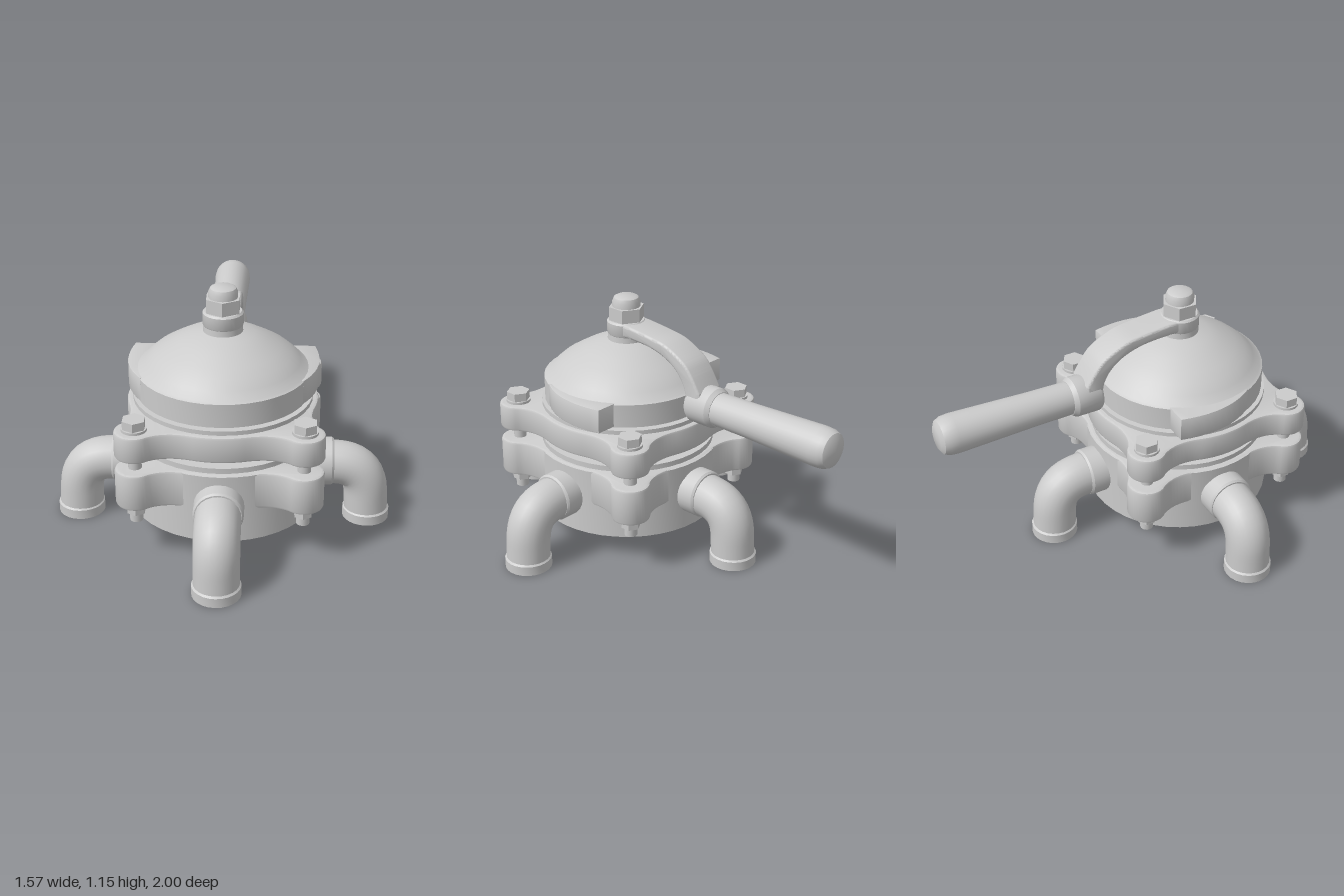
import * as THREE from 'three';
import { toCreasedNormals } from 'three/addons/utils/BufferGeometryUtils.js';

const material = new THREE.MeshStandardMaterial({ color: 0xcccccc });

function add(parent, name, geometry, x = 0, y = 0, z = 0) {
  const mesh = new THREE.Mesh(toCreasedNormals(geometry, 0.6), material);
  mesh.name = name;
  mesh.position.set(x, y, z);
  parent.add(mesh);
  return mesh;
}

const lathe = (points, sides = 40) =>
  new THREE.LatheGeometry(points.map(([r, y]) => new THREE.Vector2(r, y)), sides);

// Upright prism or cylinder from height y0 to y1
const post = (r, y0, y1, sides = 24) =>
  new THREE.CylinderGeometry(r, r, y1 - y0, sides).translate(0, (y0 + y1) / 2, 0);

// Plan outline (x, -z) extruded upwards
function slab(shape, y0, y1, bevel = 0.012) {
  return new THREE.ExtrudeGeometry(shape, {
    depth: y1 - y0 - 2 * bevel, bevelEnabled: true, bevelThickness: bevel,
    bevelSize: bevel, bevelOffset: -bevel, bevelSegments: 2, curveSegments: 10,
  }).rotateX(-Math.PI / 2).translate(0, y0 + bevel, 0);
}

// Round flange with four flared bolt ears
function flangeShape(r) {
  const shape = new THREE.Shape();
  const ear = 0.523, er = 0.09, spread = 0.52;
  for (let i = 0; i < 4; i++) {
    const a = Math.PI / 4 + i * Math.PI / 2;
    const at = (u, v) => [u * Math.cos(a) - v * Math.sin(a), u * Math.sin(a) + v * Math.cos(a)];
    const start = at(r * Math.cos(spread), -r * Math.sin(spread));
    if (i === 0) shape.moveTo(...start);
    else shape.absarc(0, 0, r, a - Math.PI / 2 + spread, a - spread, false);
    shape.quadraticCurveTo(...at(0.435, -0.11), ...at(ear, -er));
    shape.absarc(...at(ear, 0), er, a - Math.PI / 2, a + Math.PI / 2, false);
    shape.quadraticCurveTo(...at(0.435, 0.11), ...at(r * Math.cos(spread), r * Math.sin(spread)));
  }
  shape.absarc(0, 0, r, -Math.PI / 4 - Math.PI / 2 + Math.PI / 2 + spread, Math.PI / 4 - spread, false);
  return shape;
}

// Elbow pipe pointing along +x, with collar and foot
function makePipe() {
  const pipe = new THREE.Group();
  pipe.name = 'pipe';
  const collar = lathe([[0, 0], [0.112, 0], [0.112, 0.13], [0.105, 0.14], [0, 0.14]], 24);
  add(pipe, 'pipeCollar', collar.rotateZ(-Math.PI / 2), 0.375, 0.285, 0);
  const path = new THREE.CurvePath();
  const v = (x, y) => new THREE.Vector3(x, y, 0);
  path.add(new THREE.LineCurve3(v(0.45, 0.285), v(0.53, 0.28)));
  path.add(new THREE.CubicBezierCurve3(v(0.53, 0.28), v(0.62, 0.275), v(0.665, 0.23), v(0.67, 0.13)));
  path.add(new THREE.LineCurve3(v(0.67, 0.13), v(0.675, 0.03)));
  add(pipe, 'elbow', new THREE.TubeGeometry(path, 18, 0.102, 24));
  add(pipe, 'pipeFoot', lathe([[0, 0], [0.109, 0], [0.109, 0.045], [0.1, 0.054], [0, 0.054]], 24), 0.675, 0, 0);
  return pipe;
}

function makeBolt() {
  const bolt = new THREE.Group();
  bolt.name = 'bolt';
  add(bolt, 'boltHead', post(0.055, 0.635, 0.677, 6));
  add(bolt, 'washer', post(0.058, 0.622, 0.637));
  add(bolt, 'boltShank', post(0.03, 0.175, 0.63, 16));
  add(bolt, 'boltNut', post(0.044, 0.215, 0.267, 6));
  return bolt;
}

export function createModel() {
  const model = new THREE.Group();
  model.name = 'leverPump';
  const body = new THREE.Group();
  body.name = 'pumpBody';
  body.position.z = 0.215;
  model.add(body);

  // Housing core, stacked discs between the flanges
  add(body, 'housing', lathe([[0, 0.11], [0.44, 0.11], [0.44, 0.435], [0.415, 0.44], [0.415, 0.465],
    [0.35, 0.465], [0.35, 0.55], [0.41, 0.55], [0.41, 0.645], [0, 0.645]]));
  add(body, 'lowerFlange', slab(flangeShape(0.435), 0.265, 0.44));
  add(body, 'upperFlange', slab(flangeShape(0.435), 0.5, 0.625));
  add(body, 'spindle', post(0.08, 0.62, 1.0));

  // Domed cap with a rim
  add(body, 'domeCap', lathe([[0, 0.655], [0.395, 0.655], [0.395, 0.765], [0.382, 0.772], [0.35, 0.805],
    [0.31, 0.84], [0.265, 0.868], [0.2, 0.905], [0.14, 0.93], [0.09, 0.942], [0.088, 0.97], [0, 0.97]]));

  // Side stops on the cap rim: stepped at the back, fading forward
  for (const s of [1, -1]) {
    const stop = new THREE.Shape();
    stop.moveTo(s * 0.3, 0.225);
    stop.lineTo(s * 0.42, 0.225);
    stop.quadraticCurveTo(s * 0.475, 0.0, s * 0.36, -0.16);
    stop.lineTo(s * 0.3, -0.1);
    stop.closePath();
    add(body, 'capStop', slab(stop, 0.656, 0.77, 0.004));
  }

  // Pipes on four sides, bolts through the ears
  for (let i = 0; i < 4; i++) {
    const pipe = makePipe();
    pipe.rotation.y = i * Math.PI / 2;
    body.add(pipe);
    const bolt = makeBolt();
    bolt.position.set(i < 2 ? 0.37 : -0.37, 0, i % 2 ? 0.37 : -0.37);
    body.add(bolt);
  }

  // Lever hub, hex nut and rounded stud
  add(body, 'leverHub', lathe([[0, 0.965], [0.086, 0.965], [0.092, 0.975], [0.092, 1.028], [0.084, 1.036], [0, 1.036]], 28));
  add(body, 'topNut', post(0.085, 1.03, 1.1, 6));
  add(body, 'studCap', lathe([[0, 1.09], [0.066, 1.09], [0.066, 1.125], [0.058, 1.143], [0.045, 1.15], [0, 1.15]], 24));

  // Curved lever arm from a side profile (z, y)
  const lever = new THREE.Group();
  lever.name = 'lever';
  model.add(lever);
  const p = (list) => list.map(([z, y]) => new THREE.Vector2(z, y));
  const arm = new THREE.Shape();
  arm.moveTo(0.2, 1.034);
  arm.lineTo(0.13, 1.032);
  arm.splineThru(p([[0, 1.018], [-0.1, 1.0], [-0.2, 0.95], [-0.25, 0.9], [-0.3, 0.82]]));
  arm.lineTo(-0.3, 0.73);
  arm.lineTo(-0.225, 0.73);
  arm.splineThru(p([[-0.21, 0.82], [-0.17, 0.885], [-0.1, 0.935], [0, 0.965], [0.13, 0.975]]));
  arm.lineTo(0.2, 0.972);
  arm.closePath();
  const armGeometry = new THREE.ExtrudeGeometry(arm, {
    depth: 0.13, bevelThickness: 0.012, bevelSize: 0.012, bevelOffset: -0.012, bevelSegments: 3, curveSegments: 20,
  }).translate(0, 0, -0.065).rotateY(-Math.PI / 2);
  add(lever, 'leverArm', armGeometry);

  // Socket and grip, turned about the handle axis
  const socket = lathe([[0, 0], [0.085, 0], [0.094, 0.015], [0.094, 0.125], [0.08, 0.145], [0, 0.145]], 28);
  add(lever, 'gripSocket', socket.rotateX(-Math.PI / 2), 0, 0.744, -0.22);
  const grip = lathe([[0, 0], [0.077, 0], [0.08, 0.2], [0.092, 0.57], [0.089, 0.61], [0.078, 0.635],
    [0.055, 0.648], [0, 0.65]], 28);
  add(lever, 'grip', grip.rotateX(-Math.PI / 2), 0, 0.744, -0.35);

  return model;
}
